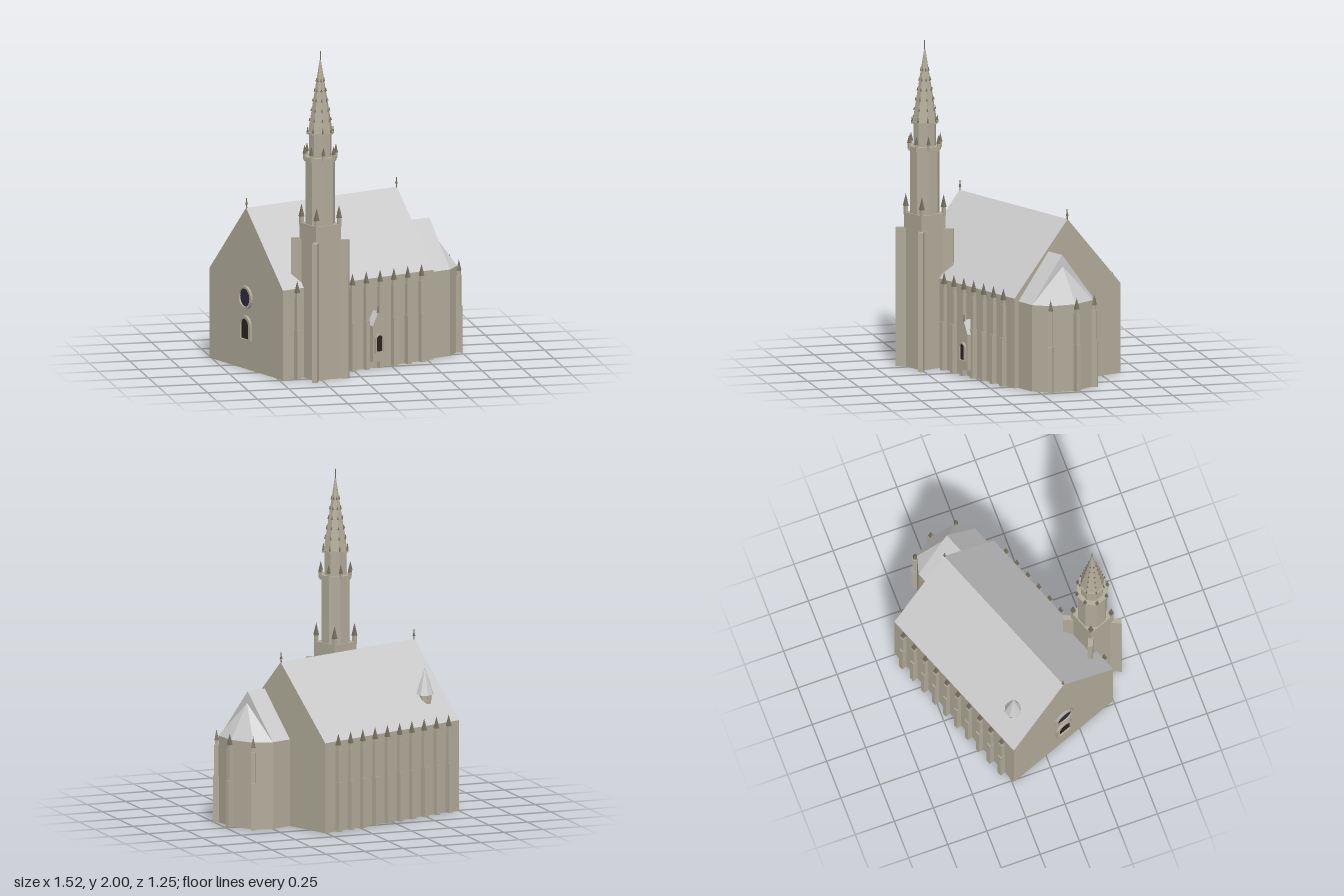
import * as THREE from 'three';

const mat = (color) => new THREE.MeshStandardMaterial({ color, flatShading: true, side: THREE.DoubleSide });
const STONE = mat(0xb0aa98), ROOF = mat(0xcccccc), DARK = mat(0x28241f), GLASS = mat(0x2a2a40), TRIM = mat(0x77705f);

function add(parent, name, geo, material, x = 0, y = 0, z = 0) {
  const m = new THREE.Mesh(geo, material);
  m.name = name;
  m.position.set(x, y, z);
  parent.add(m);
  return m;
}

// Convex faces given as corner loops, counter-clockwise from outside
function faces(parent, name, polys, material) {
  const p = [];
  for (const f of polys)
    for (let i = 1; i < f.length - 1; i++) p.push(...f[0], ...f[i], ...f[i + 1]);
  const g = new THREE.BufferGeometry();
  g.setAttribute('position', new THREE.Float32BufferAttribute(p, 3));
  g.computeVertexNormals();
  return add(parent, name, g, material);
}

// Box standing on y0
function block(parent, name, w, y0, y1, d, x, z, material = STONE) {
  return add(parent, name, new THREE.BoxGeometry(w, y1 - y0, d), material, x, (y0 + y1) / 2, z);
}

// Prism or pyramid with flat sides facing the axes
function prism(parent, name, rBottom, rTop, y0, y1, sides, x, z, material = STONE) {
  const g = new THREE.CylinderGeometry(rTop, rBottom, y1 - y0, sides, 1, false, Math.PI / sides);
  return add(parent, name, g, material, x, (y0 + y1) / 2, z);
}

function pinnacle(parent, x, z, y0, y1, r) {
  const mid = y0 + (y1 - y0) * 0.4;
  prism(parent, 'pinnacleShaft', r, r, y0, mid, 4, x, z);
  prism(parent, 'pinnacleCap', r * 1.3, 0, mid, y1, 4, x, z, TRIM);
}

// Stepped buttress whose outer side faces local +z
function buttress(parent, x, z, angle, top) {
  const b = new THREE.Group();
  b.name = 'buttress';
  b.position.set(x, 0, z);
  b.rotation.y = angle;
  block(b, 'buttressFoot', 0.028, 0, top * 0.5, 0.036, 0, 0.015);
  block(b, 'buttressShaft', 0.025, top * 0.5, top * 0.83, 0.028, 0, 0.012);
  pinnacle(b, 0, 0.012, top * 0.8, top, 0.014);
  parent.add(b);
}

function finial(parent, x, z, y0) {
  prism(parent, 'finialRod', 0.004, 0.003, y0 - 0.01, y0 + 0.06, 4, x, z, TRIM);
  prism(parent, 'finialBud', 0.009, 0, y0 + 0.02, y0 + 0.05, 4, x, z, TRIM);
}

// Round-headed opening outline standing on y = 0
function arch(w, h) {
  const s = new THREE.Shape(), r = w / 2;
  s.moveTo(-r, 0).lineTo(r, 0).lineTo(r, h - r);
  s.absarc(0, h - r, r, 0, Math.PI, false);
  s.lineTo(-r, 0);
  return s;
}

function disc(r) {
  return new THREE.Shape().absarc(0, 0, r, 0, Math.PI * 2, false);
}

// Frame with a dark pane set in it, facing local +z
function opening(parent, name, outer, inner, pane, x, y, z, angle, innerLift = 0) {
  const g = new THREE.Group();
  g.name = name;
  g.position.set(x, y, z);
  g.rotation.y = angle;
  const hole = new THREE.Path(inner.getPoints(10).map((p) => new THREE.Vector2(p.x, p.y + innerLift)));
  outer.holes.push(hole);
  add(g, name + 'Frame', new THREE.ExtrudeGeometry(outer, { depth: 0.015, bevelEnabled: false, curveSegments: 10 }), STONE);
  add(g, name + 'Pane', new THREE.ShapeGeometry(inner, 10), pane, 0, innerLift, 0.004);
  parent.add(g);
}

function buildNave(c) {
  const L = 0.546, W = 0.396, E = 0.55, R = 0.99;
  faces(c, 'naveWalls', [
    [[-L, 0, W], [L, 0, W], [L, E, W], [-L, E, W]],
    [[L, 0, -W], [-L, 0, -W], [-L, E, -W], [L, E, -W]],
    [[L, 0, W], [L, 0, -W], [L, E, -W], [L, R, 0], [L, E, W]],
    [[-L, 0, -W], [-L, 0, W], [-L, E, W], [-L, R, 0], [-L, E, -W]],
  ], STONE);
  faces(c, 'naveRoof', [
    [[-L, E, W], [L, E, W], [L, R, 0], [-L, R, 0]],
    [[L, E, -W], [-L, E, -W], [-L, R, 0], [L, R, 0]],
  ], ROOF);
  for (let i = 0; i < 10; i++) {
    const x = -0.45 + 0.1 * i;
    buttress(c, x, -W, Math.PI, 0.6);
    if (i < 1 || i > 2) buttress(c, x, W, 0, 0.6);
  }
  for (const s of [-1, 1]) finial(c, s * (L - 0.004), 0, R);
  opening(c, 'roundWindow', disc(0.072), disc(0.057), GLASS, -L, 0.44, 0, -Math.PI / 2);
  opening(c, 'westDoor', arch(0.125, 0.15), arch(0.085, 0.125), DARK, -L, 0.18, 0, -Math.PI / 2, 0.006);
}

function buildChancel(c) {
  const E = 0.53, mid = 0.142, end = 0.685;
  const plan = [[0.546, -0.082], [end, -0.082], [0.78, -0.012], [0.819, mid], [0.78, 0.297], [end, 0.367], [0.546, 0.367]];
  const walls = [], apse = [];
  for (let i = 0; i < plan.length - 1; i++) {
    const [ax, az] = plan[i], [bx, bz] = plan[i + 1];
    walls.push([[bx, 0, bz], [ax, 0, az], [ax, E, az], [bx, E, bz]]);
    if (i > 0 && i < 5) apse.push([[bx, E, bz], [ax, E, az], [end + 0.005, 0.74, mid]]);
  }
  faces(c, 'chancelWalls', walls, STONE);
  faces(c, 'apseRoof', apse, ROOF);
  const n = -0.082, s = 0.367, x0 = 0.546, R = 0.81;
  faces(c, 'chancelRoof', [
    [[x0, E, s], [end, E, s], [end, R, mid], [x0, R, mid]],
    [[end, E, n], [x0, E, n], [x0, R, mid], [end, R, mid]],
    [[end, E, s], [end, E, n], [end, R, mid]],
  ], ROOF);
  for (let i = -1; i <= 1; i++) {
    const [x, z] = plan[3 + i];
    buttress(c, x, z, Math.PI / 2 - i * Math.PI / 4, 0.57);
  }
}

function buildTower(c) {
  const t = new THREE.Group();
  t.name = 'tower';
  t.position.set(-0.304, 0, 0.439);
  c.add(t);
  block(t, 'towerBase', 0.18, 0, 0.945, 0.18, 0, 0);
  // Corner buttresses and pinnacles
  for (let i = 0; i < 4; i++) {
    const a = Math.PI / 4 + (i * Math.PI) / 2;
    const b = block(t, 'cornerButtress', 0.03, 0, 0.85, 0.08, Math.sin(a) * 0.136, Math.cos(a) * 0.136);
    b.rotation.y = a;
    pinnacle(t, Math.sin(a) * 0.115, Math.cos(a) * 0.115, 0.93, 1.06, 0.014);
  }
  // Octagonal stages and spire
  prism(t, 'belfry', 0.09, 0.09, 0.945, 1.335, 8, 0, 0);
  prism(t, 'gallery', 0.1, 0.1, 1.33, 1.358, 8, 0, 0);
  prism(t, 'lantern', 0.07, 0.07, 1.358, 1.5, 8, 0, 0);
  prism(t, 'spireCornice', 0.084, 0.084, 1.495, 1.508, 8, 0, 0);
  prism(t, 'spire', 0.075, 0.004, 1.508, 1.945, 8, 0, 0);
  prism(t, 'spireRod', 0.003, 0.003, 1.94, 2.0, 4, 0, 0, TRIM);
  for (let k = 0; k < 8; k++) {
    const a = Math.PI / 8 + (k * Math.PI) / 4, sx = Math.sin(a), cz = Math.cos(a);
    pinnacle(t, sx * 0.096, cz * 0.096, 1.34, 1.43, 0.01);
    prism(t, 'cornicePinnacle', 0.007, 0, 1.505, 1.545, 4, sx * 0.078, cz * 0.078, TRIM);
    // Crockets climb every spire edge
    for (let j = 0; j < 5; j++) {
      const y = 1.575 + j * 0.06, r = 0.075 * (1.945 - y) / 0.437 + 0.002;
      prism(t, 'crocket', 0.006, 0, y, y + 0.022, 4, sx * r, cz * r, TRIM);
    }
  }
}

function buildPorch(c) {
  const x = 0.108, w = 0.043, z0 = 0.39, z1 = 0.455, B = 0.05, E = 0.27, R = 0.355;
  const l = x - w, r = x + w;
  faces(c, 'porchWalls', [
    [[l, B, z1], [r, B, z1], [r, E, z1], [x, R, z1], [l, E, z1]],
    [[r, B, z1], [r, B, z0], [r, E, z0], [r, E, z1]],
    [[l, B, z0], [l, B, z1], [l, E, z1], [l, E, z0]],
    [[l, B, z0], [r, B, z0], [r, B, z1], [l, B, z1]],
  ], STONE);
  faces(c, 'porchRoof', [
    [[r, E, z1], [r, E, z0], [x, R, z0], [x, R, z1]],
    [[l, E, z0], [l, E, z1], [x, R, z1], [x, R, z0]],
  ], ROOF);
  opening(c, 'porchDoor', arch(0.062, 0.115), arch(0.046, 0.1), DARK, x, 0.105, z1, 0, 0.006);
  finial(c, x, z1 - 0.006, R - 0.03);
}

export function createModel() {
  const model = new THREE.Group();
  model.name = 'church';
  const c = new THREE.Group();
  c.name = 'churchBody';
  c.position.set(-0.11, 0, -0.065);
  c.rotation.y = 0.365;
  model.add(c);
  buildNave(c);
  buildChancel(c);
  buildTower(c);
  buildPorch(c);
  // Stair turret rising through the north roof slope
  prism(c, 'turretShaft', 0.042, 0.042, 0, 0.715, 8, -0.389, -0.262);
  prism(c, 'turretCap', 0.056, 0, 0.71, 0.875, 8, -0.389, -0.262, ROOF);
  return model;
}
